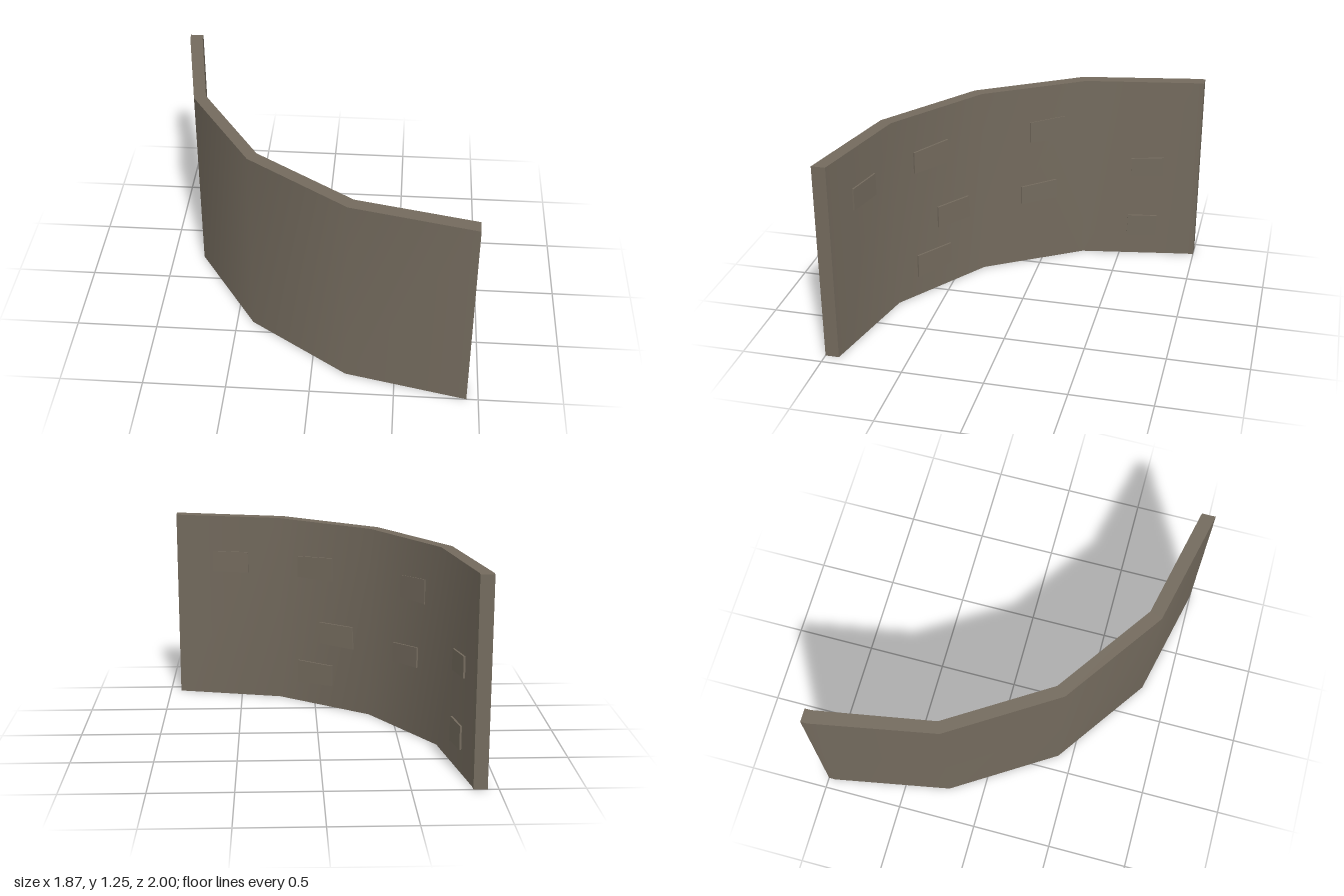
import * as THREE from 'three';

const HEIGHT = 1.25;
// Wall plan as [x, z], from the back end to the front end
const OUTER = [[-0.935, -1], [-0.935, -0.96], [-0.8, -0.22], [-0.4, 0.41], [0.205, 0.835], [0.93, 1]];
const INNER = [[-0.853, -1], [-0.853, -0.96], [-0.73, -0.25], [-0.35, 0.35], [0.235, 0.76], [0.93, 0.915]];

// Raised stones: wall segment, protrusion, four corners as [z, y]
const STONES = [
  [1, 0.012, [[-0.56, 0.71], [-0.77, 0.72], [-0.77, 0.59], [-0.56, 0.58]]],
  [1, 0.012, [[-0.55, 0.29], [-0.74, 0.29], [-0.74, 0.145], [-0.545, 0.135]]],
  [2, 0.006, [[0.075, 1.01], [-0.13, 1.025], [-0.13, 0.87], [0.075, 0.87]]],
  [2, 0.012, [[0.125, 0.56], [-0.08, 0.58], [-0.08, 0.45], [0.125, 0.435]]],
  [3, 0.012, [[0.67, 1.01], [0.515, 1.025], [0.515, 0.87], [0.67, 0.87]]],
  [3, 0.012, [[0.57, 0.58], [0.425, 0.58], [0.42, 0.43], [0.57, 0.435]]],
  [3, 0.012, [[0.67, 0.29], [0.515, 0.29], [0.515, 0.15], [0.67, 0.135]]],
  [4, 0.01, [[0.86, 1.01], [0.807, 1.01], [0.807, 0.87], [0.86, 0.87]]],
];

// Surface between two rails, smooth along its length
function strip(a, b) {
  const pos = [], index = [];
  a.forEach((p, i) => {
    pos.push(...p, ...b[i]);
    if (i) {
      const k = 2 * i;
      index.push(k - 2, k, k + 1, k - 2, k + 1, k - 1);
    }
  });
  const g = new THREE.BufferGeometry();
  g.setAttribute('position', new THREE.Float32BufferAttribute(pos, 3));
  g.setIndex(index);
  g.computeVertexNormals();
  return g;
}

export function createModel() {
  const group = new THREE.Group();
  const stone = new THREE.MeshStandardMaterial({ color: 0x736a5d });
  stone.name = 'stone';
  const add = (name, geometry) => {
    const mesh = new THREE.Mesh(geometry, stone);
    mesh.name = name;
    group.add(mesh);
    return mesh;
  };
  const rail = (plan, y) => plan.map(([x, z]) => [x, y, z]);
  const oB = rail(OUTER, 0), oT = rail(OUTER, HEIGHT);
  const iB = rail(INNER, 0), iT = rail(INNER, HEIGHT);
  const n = OUTER.length - 1;

  // Curved wall
  add('outerFace', strip(oB, oT));
  add('innerFace', strip(iT, iB));
  add('topEdge', strip(oT, iT));
  add('bottomEdge', strip(iB, oB));
  add('backEnd', strip([iB[0], oB[0]], [iT[0], oT[0]]));
  add('frontEnd', strip([oB[n], iB[n]], [oT[n], iT[n]]));

  // Stones standing slightly proud of the inner face
  STONES.forEach(([seg, depth, corners], i) => {
    const [x0, z0] = INNER[seg], [x1, z1] = INNER[seg + 1];
    const along = new THREE.Vector3(x0 - x1, 0, z0 - z1);
    const scale = along.length() / (z1 - z0);
    along.normalize();
    const up = new THREE.Vector3(0, 1, 0);
    const inward = new THREE.Vector3().crossVectors(along, up);
    const shape = new THREE.Shape(corners.map(([z, y]) => new THREE.Vector2((z1 - z) * scale, y)));
    const geo = new THREE.ExtrudeGeometry(shape, { depth: depth + 0.01, bevelEnabled: false });
    geo.translate(0, 0, -0.01);
    geo.applyMatrix4(new THREE.Matrix4().makeBasis(along, up, inward).setPosition(x1, 0, z1));
    add('raisedStone' + (i + 1), geo);
  });
  return group;
}
